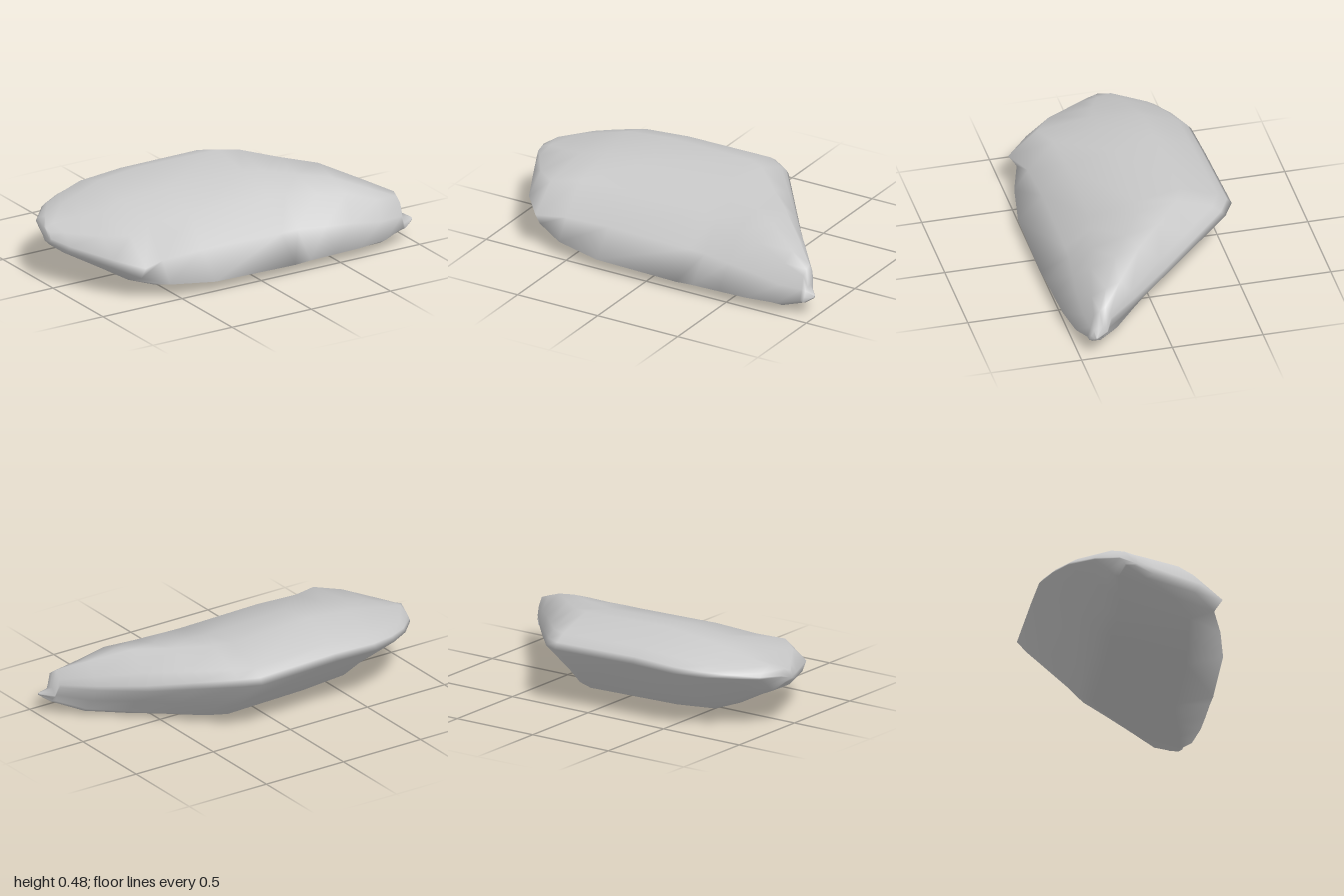
import * as THREE from 'three';

// Cross-section of the stone in its own bounds: u runs back to front, v bottom to top.
// ridge sets the height of the back edge, lip pushes the upper front face out into a spur.
const section = (ridge, lip) => [
  [1 - .05 * lip, .13 + .03 * lip], // front edge
  [.81, .01], [.39, .01], // underside
  [.31, .075], [.22, .27], // back slope
  [0, ridge], // back edge
  [.025, ridge + .07], [.075, (1 + ridge) / 2],
  [.27, 1], [.5, .905], // top
  [.74 + .09 * lip, .78], [.87 + .13 * lip, .42 - .05 * lip], // front face
];

// Outline at each station: x, back, front, bottom, top, ridge, lip
const stations = [
  [-1, -.12, -.02, .25, .33, .5, 1],
  [-.95, -.25, .09, .205, .355, .62, 1],
  [-.83, -.38, .34, .15, .39, .68, 1],
  [-.71, -.45, .47, .085, .42, .69, 1],
  [-.56, -.5, .49, .03, .455, .69, .3],
  [-.3, -.51, .52, .005, .48, .69, 0],
  [.2, -.53, .525, 0, .47, .7, 0],
  [.3, -.47, .52, .005, .463, .69, 0],
  [.46, -.27, .515, .01, .435, .62, 0],
  [.62, -.07, .507, .012, .415, .53, 0],
  [.8, .15, .48, .025, .335, .55, 0],
  // blunt left end with a small point below
  [.93, .315, .45, .075, .275, .55, 0],
  [.945, .34, .445, .08, .165, .5, 0],
  [1, .41, .425, .12, .135, .5, 0],
];

// Skin the sections into one closed, smooth surface
function rockGeometry() {
  const { lerp } = THREE.MathUtils;
  const rings = stations.map(([x, back, front, bottom, top, ridge, lip]) =>
    section(ridge, lip).map(([u, v]) => [x, lerp(bottom, top, v), lerp(back, front, u)]));
  const n = rings[0].length;
  const last = rings.length - 1;
  const positions = rings.flat(2);
  const index = [];
  for (let i = 0; i < last; i++) {
    for (let j = 0; j < n; j++) {
      const a = i * n + j, b = i * n + (j + 1) % n;
      index.push(a, b, a + n, b, b + n, a + n);
    }
  }
  // end caps
  for (let j = 1; j < n - 1; j++) {
    const e = last * n;
    index.push(0, j + 1, j, e, e + j, e + j + 1);
  }
  const geometry = new THREE.BufferGeometry();
  geometry.setAttribute('position', new THREE.Float32BufferAttribute(positions, 3));
  geometry.setIndex(index);
  geometry.computeVertexNormals();
  return geometry;
}

export function createModel() {
  const stone = new THREE.MeshStandardMaterial({ color: 0xc8c8c8 });
  stone.name = 'stone grey';

  const rock = new THREE.Mesh(rockGeometry(), stone);
  rock.name = 'rock';

  const model = new THREE.Group();
  model.name = 'slantedRock';
  model.add(rock);
  return model;
}
